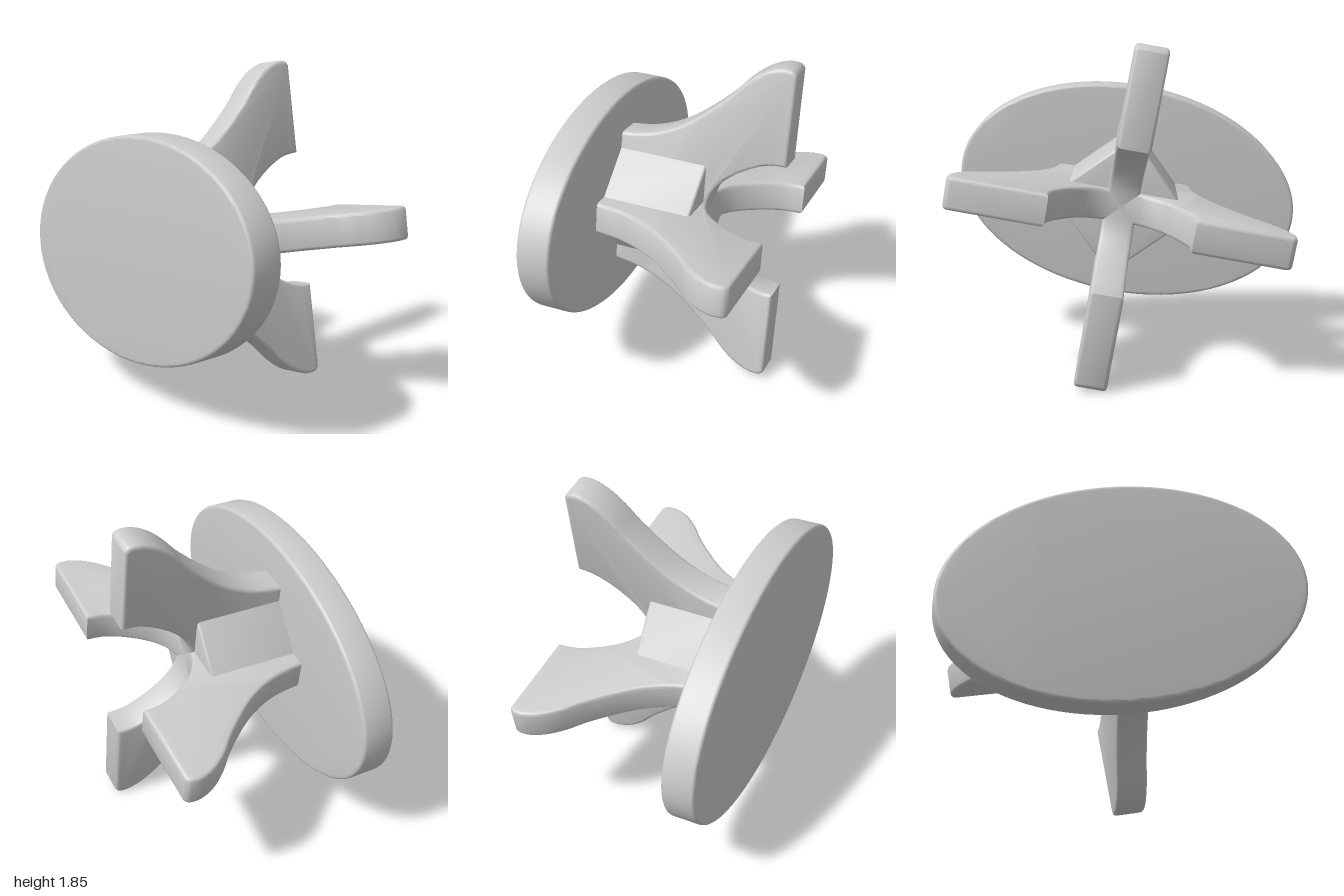
import * as THREE from 'three';
import { toCreasedNormals } from 'three/addons/utils/BufferGeometryUtils.js';

const material = new THREE.MeshStandardMaterial({ color: 0xcccccc });

// Extrude a shape with softened edges, centred on its thickness
function slab(shape, thickness, bevel, curveSegments = 12) {
  const geometry = new THREE.ExtrudeGeometry(shape, {
    depth: thickness - 2 * bevel,
    bevelThickness: bevel,
    bevelSize: bevel,
    bevelOffset: -bevel,
    bevelSegments: 3,
    curveSegments,
  });
  geometry.translate(0, 0, -(thickness - 2 * bevel) / 2);
  return toCreasedNormals(geometry, 0.6);
}

function part(name, geometry) {
  const mesh = new THREE.Mesh(geometry, material);
  mesh.name = name;
  return mesh;
}

// Smooth a list of [radius, z] points
function smooth(points, divisions) {
  return new THREE.SplineCurve(points.map(([r, z]) => new THREE.Vector2(r, z))).getPoints(divisions);
}

// Two opposite splayed legs in one plane: flared outside, arched inside
function legPairShape() {
  const outer = smooth([[0.395, 0.4], [0.43, 0.2], [0.53, 0], [0.7, -0.2], [0.81, -0.3],
    [0.885, -0.39], [0.925, -0.48], [0.925, -0.55], [0.9, -0.575]], 28);
  const inner = smooth([[0.39, -0.575], [0.375, -0.46], [0.31, -0.33], [0.22, -0.22],
    [0.12, -0.16], [0, -0.14]], 18);
  const half = [...outer, ...inner];
  const mirrored = half.slice(0, -1).reverse().map((p) => new THREE.Vector2(-p.x, p.y));
  return new THREE.Shape([...half, ...mirrored]);
}

export function createModel() {
  const model = new THREE.Group();
  model.name = 'pedestalTable';

  // Oval top, facing the front with a slight tilt
  const oval = new THREE.Shape();
  oval.absellipse(0, 0, 1.013, 0.63, 0, Math.PI * 2, false, 0);
  const top = part('ovalTop', slab(oval, 0.185, 0.018, 48));
  top.rotation.set(-0.006, 0.0175, 0.204);
  top.position.set(0, 0.905, 0.472);
  model.add(top);

  // Crossed legs behind the top
  const base = new THREE.Group();
  base.name = 'legBase';
  base.position.set(0.035, 0.925, 0);
  base.rotation.z = 0.18;
  const legs = slab(legPairShape(), 0.18, 0.02);
  legs.rotateX(Math.PI / 2);
  ['sideLegs', 'uprightLegs'].forEach((name, i) => {
    const pair = part(name, legs);
    pair.rotation.z = i * Math.PI / 2;
    base.add(pair);
  });

  // Eight-sided core filling the corners between the legs
  const corners = [];
  for (let i = 0; i < 4; i++) {
    for (const side of [-0.085, 0.085]) {
      corners.push(new THREE.Vector2(0.31, side).rotateAround(new THREE.Vector2(), i * Math.PI / 2));
    }
  }
  const core = part('core', slab(new THREE.Shape(corners), 0.53, 0.015));
  core.position.z = 0.135;
  base.add(core);
  model.add(base);

  return model;
}
